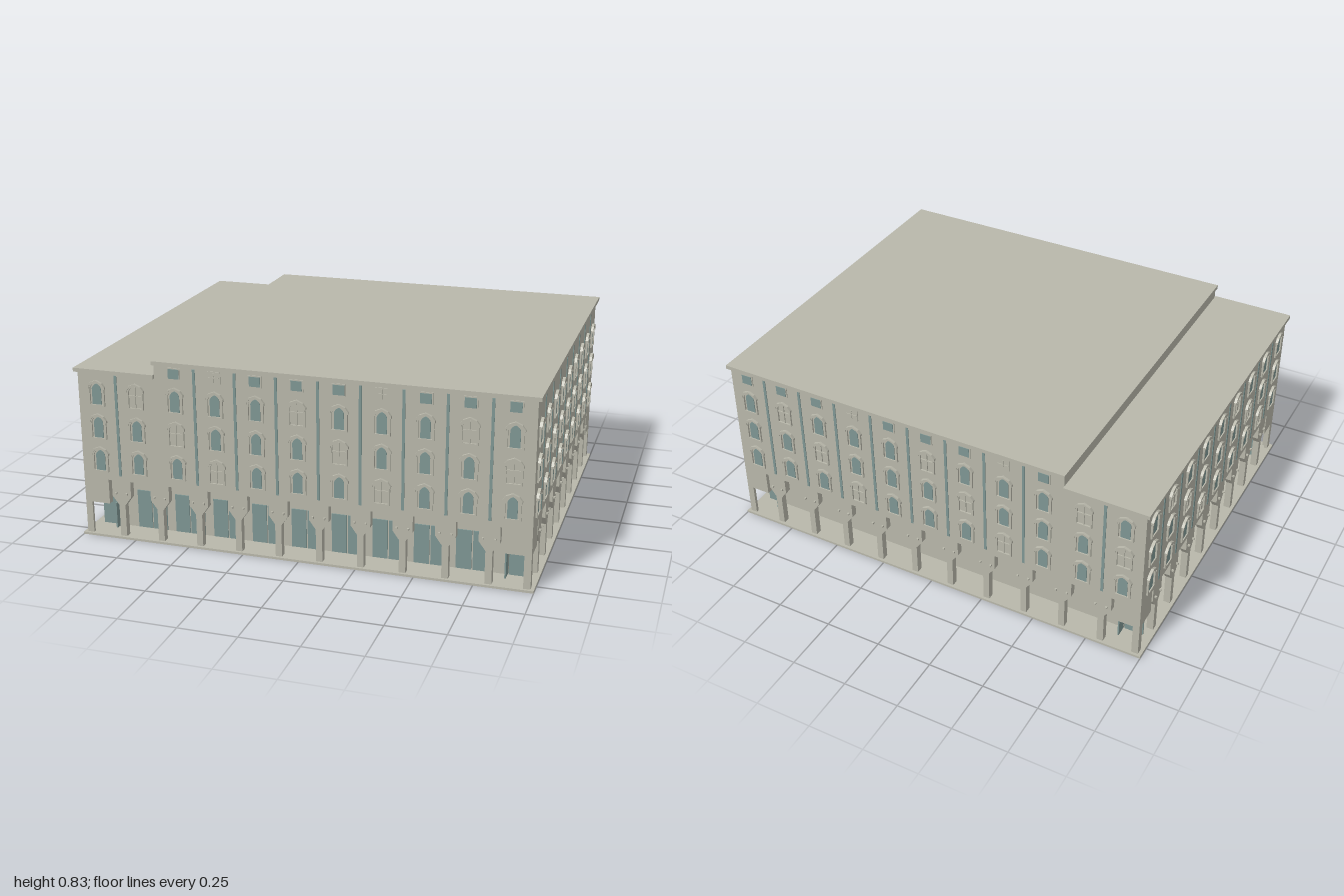
import * as THREE from 'three';

const stone = new THREE.MeshStandardMaterial({ color: 0xb8b7aa });
stone.name = 'stone';
const glass = new THREE.MeshStandardMaterial({ color: 0x7e9693 });
glass.name = 'teal glass';

const BAY = 0.18;      // spacing of window columns and arcade openings
const THICK = 0.03;    // wall thickness
const STEP = -0.63;    // x where the low wing meets the main block

function add(parent, name, geometry, material, x = 0, y = 0, z = 0) {
  const mesh = new THREE.Mesh(geometry, material);
  mesh.name = name;
  mesh.position.set(x, y, z);
  parent.add(mesh);
  return mesh;
}

// box given by its limits
function block(parent, name, material, x0, x1, y0, y1, z0, z1) {
  return add(parent, name, new THREE.BoxGeometry(x1 - x0, y1 - y0, z1 - z0), material,
    (x0 + x1) / 2, (y0 + y1) / 2, (z0 + z1) / 2);
}

const extrude = (shape, depth) =>
  new THREE.ExtrudeGeometry(shape, { depth, bevelEnabled: false, curveSegments: 6 });

// arched window outline: half width, bottom, spring line, crown
function archPath(Type, w, y0, spring, crown) {
  const p = new Type();
  p.moveTo(-w, y0);
  p.lineTo(w, y0);
  p.lineTo(w, spring);
  p.quadraticCurveTo(w * 0.75, crown - 0.006, 0, crown);
  p.quadraticCurveTo(-w * 0.75, crown - 0.006, -w, spring);
  p.closePath();
  return p;
}

const frameShape = archPath(THREE.Shape, 0.037, 0, 0.082, 0.112);
frameShape.holes.push(archPath(THREE.Path, 0.029, 0.006, 0.078, 0.102));
const frameGeo = extrude(frameShape, 0.008);
const hoodShape = new THREE.Shape();
[[-0.041, 0.076], [-0.041, 0.086], [-0.028, 0.103], [0, 0.115], [0.028, 0.103], [0.041, 0.086],
  [0.041, 0.076], [0.034, 0.076], [0.034, 0.084], [0.022, 0.098], [0, 0.106], [-0.022, 0.098],
  [-0.034, 0.084], [-0.034, 0.076]].forEach(([x, y], i) => (i ? hoodShape.lineTo(x, y) : hoodShape.moveTo(x, y)));
const hoodGeo = extrude(hoodShape, 0.012);
const paneGeo = extrude(archPath(THREE.Shape, 0.021, 0.006, 0.076, 0.098), 0.003);

function archedWindow(parent, x, y, z, light) {
  const g = new THREE.Group();
  g.name = 'archedWindow';
  g.position.set(x, y, z);
  parent.add(g);
  add(g, 'windowFrame', frameGeo, stone);
  add(g, 'windowHood', hoodGeo, stone);
  if (light) {
    block(g, 'mullion', stone, -0.002, 0.002, 0.006, 0.1, 0, 0.005);
    block(g, 'transom', stone, -0.029, 0.029, 0.058, 0.062, 0, 0.005);
  } else {
    add(g, 'windowPane', paneGeo, glass);
  }
}

function squareWindow(parent, x, z, light) {
  block(parent, 'atticFrame', stone, x - 0.029, x + 0.029, 0.752, 0.804, z, z + 0.004);
  if (light) {
    block(parent, 'atticMullion', stone, x - 0.002, x + 0.002, 0.757, 0.799, z, z + 0.007);
    block(parent, 'atticTransom', stone, x - 0.024, x + 0.024, 0.776, 0.78, z, z + 0.007);
  } else {
    block(parent, 'atticPane', glass, x - 0.024, x + 0.024, 0.757, 0.799, z, z + 0.006);
  }
}

// wall outline with the bottle-shaped arcade openings cut from its foot
function wallShape(half, cols, topPoints) {
  const c = ((cols - 1) / 2) * BAY;
  const pts = [[-half, 0.01]];
  const corner = [[0.07, 0.01], [0.07, 0.155], [0.03, 0.155], [-0.03, 0.155], [-0.03, 0.267],
    [-0.045, 0.267], [-0.045, 0.195], [-0.075, 0.155], [-0.075, 0.01]];
  const bottle = [[-0.076, 0.01], [-0.076, 0.155], [-0.047, 0.195], [-0.047, 0.267],
    [0.047, 0.267], [0.047, 0.195], [0.076, 0.155], [0.076, 0.01]];
  corner.forEach(([x, y]) => pts.push([-c - x, y]));
  for (let i = 1; i < cols - 1; i++) bottle.forEach(([x, y]) => pts.push([-c + i * BAY + x, y]));
  [...corner].reverse().forEach(([x, y]) => pts.push([c + x, y]));
  pts.push([half, 0.01], ...topPoints);
  return new THREE.Shape(pts.map(([x, y]) => new THREE.Vector2(x, y)));
}

// one side of the building; local +z points outwards
function facade(parent, o) {
  const g = new THREE.Group();
  g.name = o.name;
  g.rotation.y = o.turn;
  parent.add(g);
  const first = -((o.cols - 1) / 2) * BAY;
  add(g, 'arcadeWall', extrude(wallShape(o.half, o.cols, o.top), THICK), stone, 0, 0, o.dist - THICK);
  for (let i = 0; i < o.cols; i++) {
    const x = first + i * BAY;
    [0.304, 0.454, 0.604].forEach((y, row) => archedWindow(g, x, y, o.dist, i % 4 === 3 - row));
    if (o.attic && o.attic(x)) squareWindow(g, x, o.dist, i % 4 === 3);
    if (i === o.cols - 1) continue;
    // strip between window columns and small lamps on the pier below
    const s = x + BAY / 2;
    const top = o.stripTop(s);
    if (top) block(g, 'wallStrip', glass, s - 0.006, s + 0.006, 0.29, top, o.dist - 0.002, o.dist + 0.003);
    for (const d of [-0.025, 0.025])
      block(g, 'pierLamp', stone, s + d - 0.004, s + d + 0.004, 0.206, 0.214, o.dist, o.dist + 0.01);
  }
  return g;
}

export function createModel() {
  const model = new THREE.Group();
  model.name = 'arcadedBuilding';

  // ground slab, recessed ground floor and upper mass
  block(model, 'groundSlab', stone, -1, 1, 0, 0.01, -0.815, 0.815);
  block(model, 'groundFloorCore', stone, -0.87, 0.87, 0.01, 0.285, -0.69, 0.69);
  block(model, 'mainCore', stone, STEP, 0.97, 0.28, 0.815, -0.79, 0.79);
  block(model, 'wingCore', stone, -0.97, STEP, 0.28, 0.755, -0.79, 0.79);

  // roofs with overhanging edges
  block(model, 'mainRoof', stone, STEP - 0.006, 1, 0.811, 0.828, -0.815, 0.815);
  block(model, 'wingRoof', stone, -1, STEP, 0.75, 0.767, -0.815, 0.815);

  // long sides with the stepped top, short sides at their own heights
  const H = 0.985, D = 0.803, hi = 0.812, lo = 0.752;
  facade(model, {
    name: 'frontFacade', turn: 0, half: H, dist: D, cols: 11,
    top: [[H, hi], [STEP, hi], [STEP, lo], [-H, lo]],
    attic: x => x > STEP,
    stripTop: x => (Math.abs(x - STEP) < 0.02 ? 0 : x > STEP ? 0.805 : 0.745),
  });
  facade(model, {
    name: 'backFacade', turn: Math.PI, half: H, dist: D, cols: 11,
    top: [[H, lo], [-STEP, lo], [-STEP, hi], [-H, hi]],
    attic: x => x < -STEP,
    stripTop: x => (Math.abs(x + STEP) < 0.02 ? 0 : x < -STEP ? 0.805 : 0.745),
  });
  facade(model, {
    name: 'leftFacade', turn: Math.PI / 2, half: D, dist: H, cols: 9,
    top: [[D, hi], [-D, hi]], stripTop: () => 0.805,
  });
  facade(model, {
    name: 'rightFacade', turn: -Math.PI / 2, half: D, dist: H, cols: 9,
    top: [[D, lo], [-D, lo]], stripTop: () => 0.745,
  });

  // shop windows behind the front arcade
  for (let i = -4; i <= 4; i++) {
    for (const s of [-1, 1]) {
      const x = i * BAY + s * 0.036;
      block(model, 'shopWindow', glass, x - 0.033, x + 0.033, 0.012, 0.187, 0.688, 0.695);
    }
  }
  for (const sx of [-1, 1]) {
    for (const sz of [-1, 1]) {
      // glass doors across the walkways near each corner
      add(model, 'walkwayDoor', new THREE.BoxGeometry(0.006, 0.118, 0.05), glass, sx * 0.87, 0.077, sz * 0.724);
      add(model, 'walkwayScreen', new THREE.BoxGeometry(0.085, 0.138, 0.006), glass, sx * 0.917, 0.08, sz * 0.69);
      // narrow side lights
      add(model, 'sideLight', new THREE.BoxGeometry(0.008, 0.145, 0.008), glass, sx * 0.87, 0.083, sz * BAY);
    }
  }
  return model;
}
